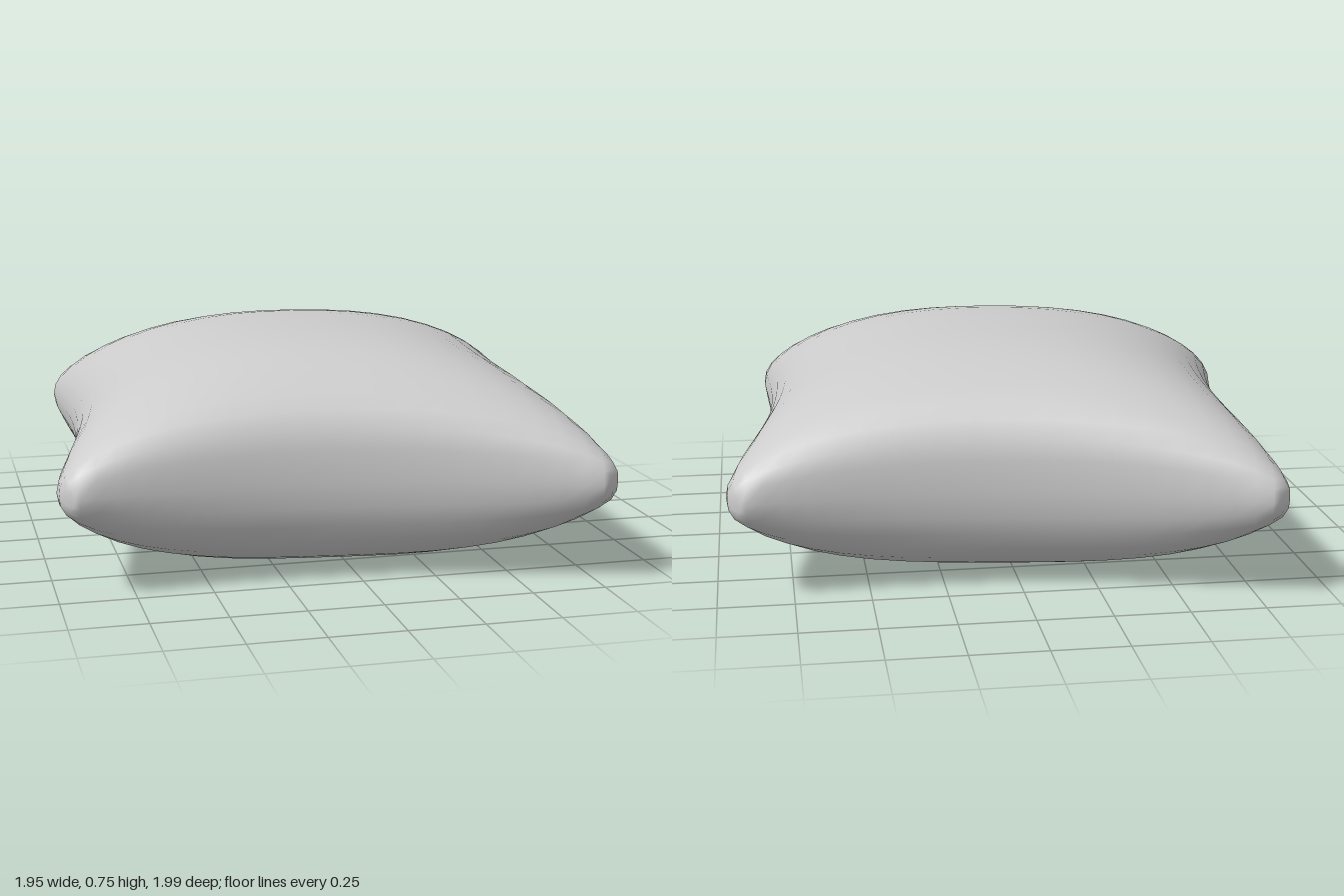
import * as THREE from 'three';
import { mergeGeometries, mergeVertices } from 'three/addons/utils/BufferGeometryUtils.js';

const SEGMENTS = 24;
const SEAM_HEIGHT = 0.345;
const CORNER_LIMIT = 1.73;

// Thickness falls from 1 in the middle to 0 at the seam.
const bulge = (t, power, steepness) =>
  Math.max(0, 1 - Math.abs(t) ** power) ** steepness;

// Half-width of the pillow: concave along the sides, wider at the corners.
const sideX = (t) => 0.835 + 0.12 * t ** 2 - 0.05 * t ** 8;
const sideZ = (t) => 0.77 + 0.15 * t ** 2 - 0.01 * t ** 8;

// One puffed half of the cushion; direction is 1 for the top, -1 for the bottom.
function createHalf(direction, height, bulgeX, bulgeZ) {
  const geometry = new THREE.PlaneGeometry(2, 2, SEGMENTS, SEGMENTS);
  geometry.rotateX(-direction * Math.PI / 2);
  geometry.deleteAttribute('uv');
  geometry.deleteAttribute('normal');
  const position = geometry.attributes.position;
  for (let i = 0; i < position.count; i++) {
    // Pack the grid lines towards the seam so that it rounds smoothly.
    const a = Math.sin(position.getX(i) * Math.PI / 2);
    const b = Math.sin(position.getZ(i) * Math.PI / 2);
    let x = a * sideX(b);
    let z = b * sideZ(a);

    // Blunt the four tips.
    const excess = Math.max(0, Math.abs(x) + Math.abs(z) - CORNER_LIMIT) * 0.45;
    x -= Math.sign(x) * excess;
    z -= Math.sign(z) * excess;

    // Slight unevenness: the back right tip reaches out furthest.
    x -= 0.015 * (1 - b);
    z += 0.012 + 0.018 * a;

    const y = direction * height * bulge(a, ...bulgeX) * bulge(b, ...bulgeZ);
    position.setXYZ(i, x, y, z);
  }
  return geometry;
}

export function createModel() {
  const group = new THREE.Group();
  group.name = 'pillow';

  // Weld both halves at the seam for continuous smooth normals.
  const halves = mergeGeometries([
    createHalf(1, 0.41, [2.3, 0.5], [3, 0.36]),
    createHalf(-1, SEAM_HEIGHT, [2.7, 0.5], [5, 0.45])
  ]);
  const geometry = mergeVertices(halves, 0.0001);
  geometry.computeVertexNormals();

  const cushion = new THREE.Mesh(
    geometry,
    new THREE.MeshStandardMaterial({ color: 0xcccccc })
  );
  cushion.name = 'cushion';
  cushion.position.y = SEAM_HEIGHT;
  cushion.rotation.y = -0.11;
  group.add(cushion);
  return group;
}
